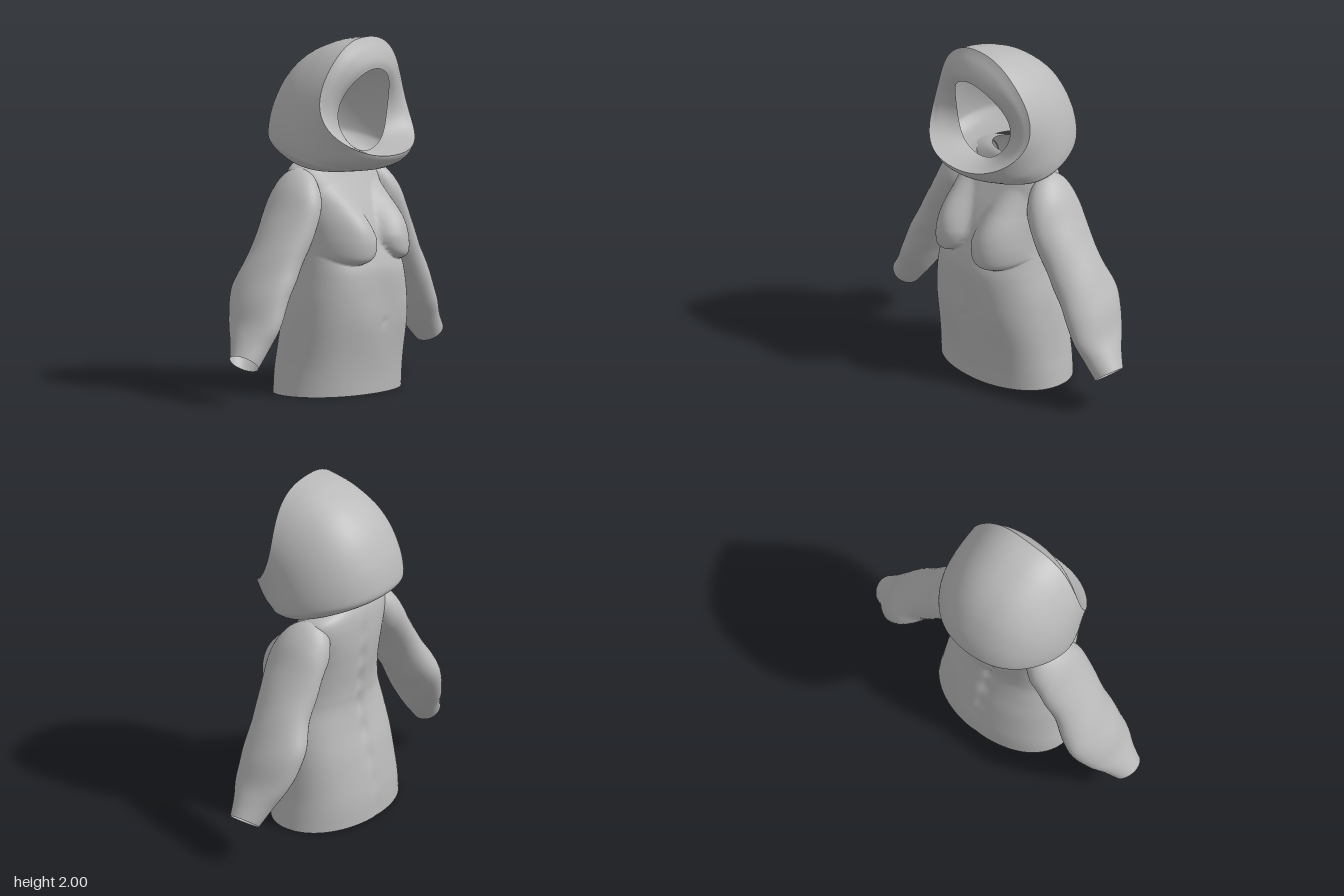
import * as THREE from 'three';

const shellGrey = new THREE.MeshStandardMaterial({ color: 0xbababa, side: THREE.DoubleSide });
shellGrey.name = 'shellGrey';

// Smooth interpolation through rows of numbers, t in 0..1
function sampleRows(rows, t) {
  const f = t * (rows.length - 1);
  const i = Math.min(Math.floor(f), rows.length - 2), u = f - i;
  const row = k => rows[Math.max(0, Math.min(rows.length - 1, k))];
  return rows[i].map((b, c) => {
    const a = row(i - 1)[c], d = row(i + 1)[c], e = row(i + 2)[c];
    return b + 0.5 * u * (d - a + u * (2 * a - 5 * b + 4 * d - e + u * (3 * (b - d) + e - a)));
  });
}

// Skin of closed loops; place(row, angle) gives each point
function loft(name, rows, steps, segs, place) {
  const pos = [], index = [];
  for (let i = 0; i <= steps; i++) {
    const row = sampleRows(rows, i / steps);
    for (let j = 0; j < segs; j++) {
      pos.push(...place(row, (j / segs) * Math.PI * 2));
      if (i === steps) continue;
      const a = i * segs + j, b = i * segs + ((j + 1) % segs);
      index.push(a, b, b + segs, a, b + segs, a + segs);
    }
  }
  const g = new THREE.BufferGeometry();
  g.setAttribute('position', new THREE.Float32BufferAttribute(pos, 3));
  g.setIndex(index);
  g.computeVertexNormals();
  const mesh = new THREE.Mesh(g, shellGrey);
  mesh.name = name;
  return mesh;
}

const power = (v, p) => Math.sign(v) * Math.abs(v) ** p;
const bell = (d, w) => Math.exp(-((d / w) ** 2));

// Helmet loop: top/back point, chin/front point, widest side point, roundness of the top
function helmetPoint([y0, z0, y1, z1, w, ys, zs, p], a) {
  const c = (1 + Math.cos(a)) / 2, s = Math.abs(Math.sin(a));
  return [
    w * power(Math.sin(a), p * c + 1 - c),
    y0 * c + y1 * (1 - c) + (ys - (y0 + y1) / 2) * s * s,
    z0 * c + z1 * (1 - c) + (zs - (z0 + z1) / 2) * s ** 3,
  ];
}

// Torso loop: height, half width, front z, back z, roundness
function torsoPoint([y, w, zf, zb, p], a) {
  const x = w * power(Math.sin(a), p), c = power(Math.cos(a), p);
  const fade = bell(y - 0.65, 0.5);
  let z = (zf + zb) / 2 + ((zf - zb) / 2) * c + 0.004 * Math.sin(9 * y + 14 * x) * fade * c;
  if (c < 0) {
    // Spine groove
    return [x, y, z + 0.02 * bell(x, 0.03) * fade * (0.75 + 0.25 * Math.sin(y * 40))];
  }
  // Chest: full and overhanging below, fading out towards the shoulders
  const dy = y - 0.885;
  const inside = Math.max(0, 1 - ((Math.abs(x) - 0.195) / 0.165) ** 2 - (dy / (dy > 0 ? 0.3 : 0.145)) ** 2);
  const swell = inside ** (0.7 + 0.8 * Math.min(1, Math.max(0, dy * 6)));
  z += 0.115 * swell - 0.01 * bell(x, 0.01) * bell(y - 0.4, 0.02);
  return [x, y - 0.03 * swell * bell(dy + 0.09, 0.08), z];
}

export function createModel() {
  const model = new THREE.Group();
  model.name = 'helmetAndSuit';

  // Helmet shell, from the face rim over the dome to the neck opening
  const rim = [2.0, 0.18, 1.35, 0.39, 0.39, 1.6, 0.17, 0.84];
  const helmet = new THREE.Group();
  helmet.name = 'helmet';
  helmet.add(loft('helmetShell', [
    rim,
    [1.975, 0.03, 1.335, 0.385, 0.398, 1.56, 0.11, 0.84],
    [1.9, -0.14, 1.315, 0.37, 0.405, 1.51, 0.06, 0.84],
    [1.785, -0.265, 1.295, 0.345, 0.41, 1.46, 0.03, 0.86],
    [1.63, -0.35, 1.28, 0.32, 0.412, 1.415, 0.01, 0.9],
    [1.49, -0.388, 1.268, 0.29, 0.41, 1.37, 0, 0.94],
    [1.43, -0.38, 1.26, 0.26, 0.4, 1.335, 0, 0.96],
    [1.39, -0.32, 1.257, 0.21, 0.35, 1.295, -0.01, 1],
    [1.365, -0.25, 1.265, 0.16, 0.27, 1.29, -0.02, 1],
    [1.35, -0.2, 1.28, 0.12, 0.21, 1.3, -0.03, 1],
  ], 54, 96, helmetPoint));

  // Padded ring around the face opening, shelving back at the chin
  helmet.add(loft('faceRing', [
    [1.825, 0.25, 1.36, 0.19, 0.225, 1.595, 0.165, 1],
    [1.87, 0.25, 1.357, 0.24, 0.275, 1.597, 0.18, 0.97],
    [1.93, 0.225, 1.352, 0.31, 0.335, 1.6, 0.185, 0.91],
    [1.975, 0.195, 1.349, 0.365, 0.372, 1.6, 0.175, 0.86],
    rim,
  ], 16, 96, helmetPoint));
  model.add(helmet);

  // Torso, open at the hem and the neck
  model.add(loft('torso', [
    [0, 0.432, 0.28, -0.312, 0.95],
    [0.1, 0.418, 0.285, -0.307, 0.9],
    [0.2, 0.405, 0.295, -0.295, 0.86],
    [0.4, 0.39, 0.32, -0.258, 0.82],
    [0.55, 0.375, 0.325, -0.22, 0.84],
    [0.68, 0.35, 0.322, -0.195, 0.86],
    [0.76, 0.335, 0.3, -0.193, 0.86],
    [0.84, 0.322, 0.268, -0.198, 0.85],
    [0.94, 0.315, 0.238, -0.21, 0.85],
    [1.05, 0.315, 0.19, -0.22, 0.83],
    [1.15, 0.325, 0.135, -0.22, 0.8],
    [1.22, 0.325, 0.095, -0.215, 0.8],
    [1.27, 0.295, 0.07, -0.205, 0.83],
    [1.31, 0.21, 0.05, -0.185, 0.9],
    [1.33, 0.145, 0.03, -0.16, 1],
  ], 140, 144, torsoPoint));

  // Sleeve loops: outer x, y, inner x, y, front z, back z
  const sleeveRows = [
    [0.24, 1.27, 0.25, 1.04, 0.03, -0.17],
    [0.33, 1.262, 0.275, 0.97, 0.105, -0.205],
    [0.42, 1.18, 0.315, 0.925, 0.14, -0.215],
    [0.5, 1.04, 0.37, 0.84, 0.145, -0.22],
    [0.59, 0.89, 0.44, 0.71, 0.13, -0.22],
    [0.7, 0.7, 0.52, 0.58, 0.125, -0.26],
    [0.76, 0.58, 0.58, 0.485, 0.125, -0.25],
    [0.81, 0.45, 0.64, 0.385, 0.12, -0.21],
    [0.86, 0.36, 0.705, 0.28, 0.09, -0.155],
    [0.91, 0.28, 0.785, 0.18, 0.068, -0.11],
  ];

  for (const [side, label] of [[1, 'left'], [-1, 'right']]) {
    model.add(loft(label + 'Sleeve', sleeveRows, 54, 40, ([ox, oy, ix, iy, zf, zb], a) => {
      const fold = 1 + 0.012 * Math.sin(26 * oy + 3 * a) * bell(oy - 0.75, 0.35);
      const c = Math.cos(a) * fold, s = Math.sin(a) * fold;
      return [
        side * ((ox + ix) / 2 + ((ox - ix) / 2) * c),
        (oy + iy) / 2 + ((oy - iy) / 2) * c,
        (zf + zb) / 2 + ((zf - zb) / 2) * s * side,
      ];
    }));
  }
  return model;
}
